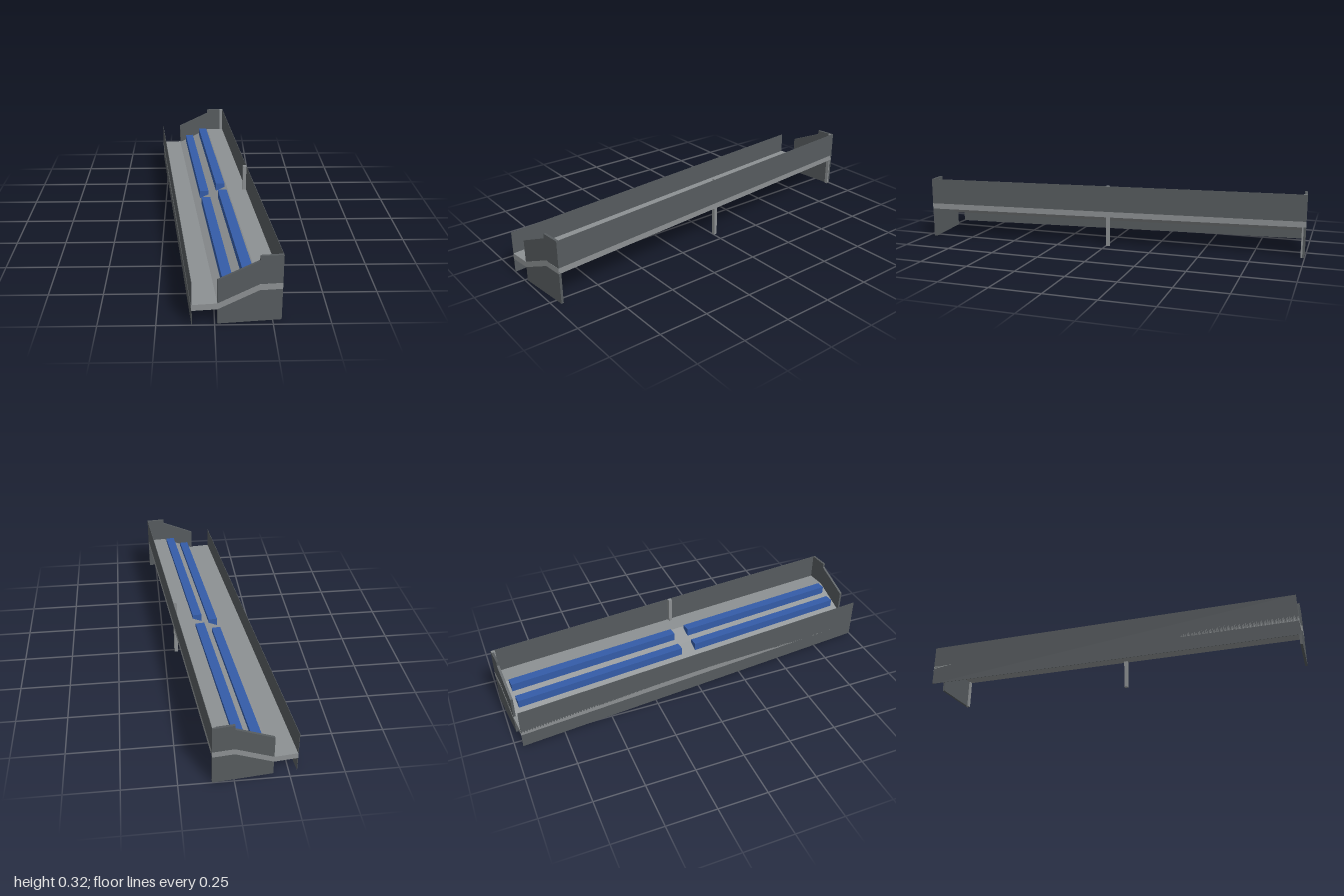
import * as THREE from 'three';

const mat = (name, color, side = THREE.FrontSide) => {
  const m = new THREE.MeshStandardMaterial({ color, side });
  m.name = name;
  return m;
};

export function createModel() {
  const concrete = mat('light grey concrete', 0x8c9092);
  const panel = mat('dark grey panel', 0x565b5e, THREE.DoubleSide);
  const blue = mat('bench blue', 0x345ca8);

  const model = new THREE.Group();
  model.name = 'grandstand';
  // The whole stand sits slightly turned on its plot
  const stand = new THREE.Group();
  stand.name = 'stand';
  stand.rotation.y = 0.097;
  model.add(stand);

  const W = 0.195; // half width
  const L = 0.986; // half length

  // Box given by its limits on each axis
  const box = (name, material, [x0, x1], [y0, y1], [z0, z1]) => {
    const mesh = new THREE.Mesh(new THREE.BoxGeometry(x1 - x0, y1 - y0, z1 - z0), material);
    mesh.position.set((x0 + x1) / 2, (y0 + y1) / 2, (z0 + z1) / 2);
    mesh.name = name;
    stand.add(mesh);
  };

  // Cross-section swept along z
  const sweep = (name, material, points, z0, z1) => {
    const shape = new THREE.Shape(points.map(([x, y]) => new THREE.Vector2(x, y)));
    const geo = new THREE.ExtrudeGeometry(shape, { depth: z1 - z0, bevelEnabled: false });
    const mesh = new THREE.Mesh(geo, material);
    mesh.position.z = z0;
    mesh.name = name;
    stand.add(mesh);
  };

  // Deck: low walkway, ramp, high walkway
  sweep('deck', concrete, [
    [-W, 0.072], [-0.084, 0.072], [0.095, 0.153], [W, 0.153],
    [W, 0.182], [0.095, 0.182], [-0.084, 0.101], [-W, 0.101],
  ], -L - 0.0006, L + 0.0006);

  // End walls with a stepped, sloping top
  const endProfile = [
    [-0.084, 0], [W, 0], [W, 0.316], [0.095, 0.316], [0.095, 0.293], [-0.084, 0.213],
  ];
  sweep('frontEndWall', panel, endProfile, L - 0.012, L);
  sweep('backEndWall', panel, endProfile, -L, -L + 0.012);

  // Long thin walls: low one to the ground, high one above the deck
  box('lowLongWall', panel, [-W, -W + 0.002], [0, 0.213], [-L, L]);
  box('highLongWall', panel, [W - 0.002, W], [0.182, 0.316], [-L, L]);

  // Support posts
  for (const z of [0.008, -0.975]) {
    box('post', concrete, [W - 0.019, W - 0.0005], [0, 0.316], [z - 0.009, z + 0.009]);
  }

  // Two bench rows, split by a central aisle
  for (const [z0, z1] of [[-0.945, -0.04], [0.04, 0.945]]) {
    box('lowerBench', blue, [-0.05, -0.004], [0.117, 0.158], [z0, z1]);
    box('upperBench', blue, [0.037, 0.084], [0.156, 0.198], [z0, z1]);
  }

  return model;
}
